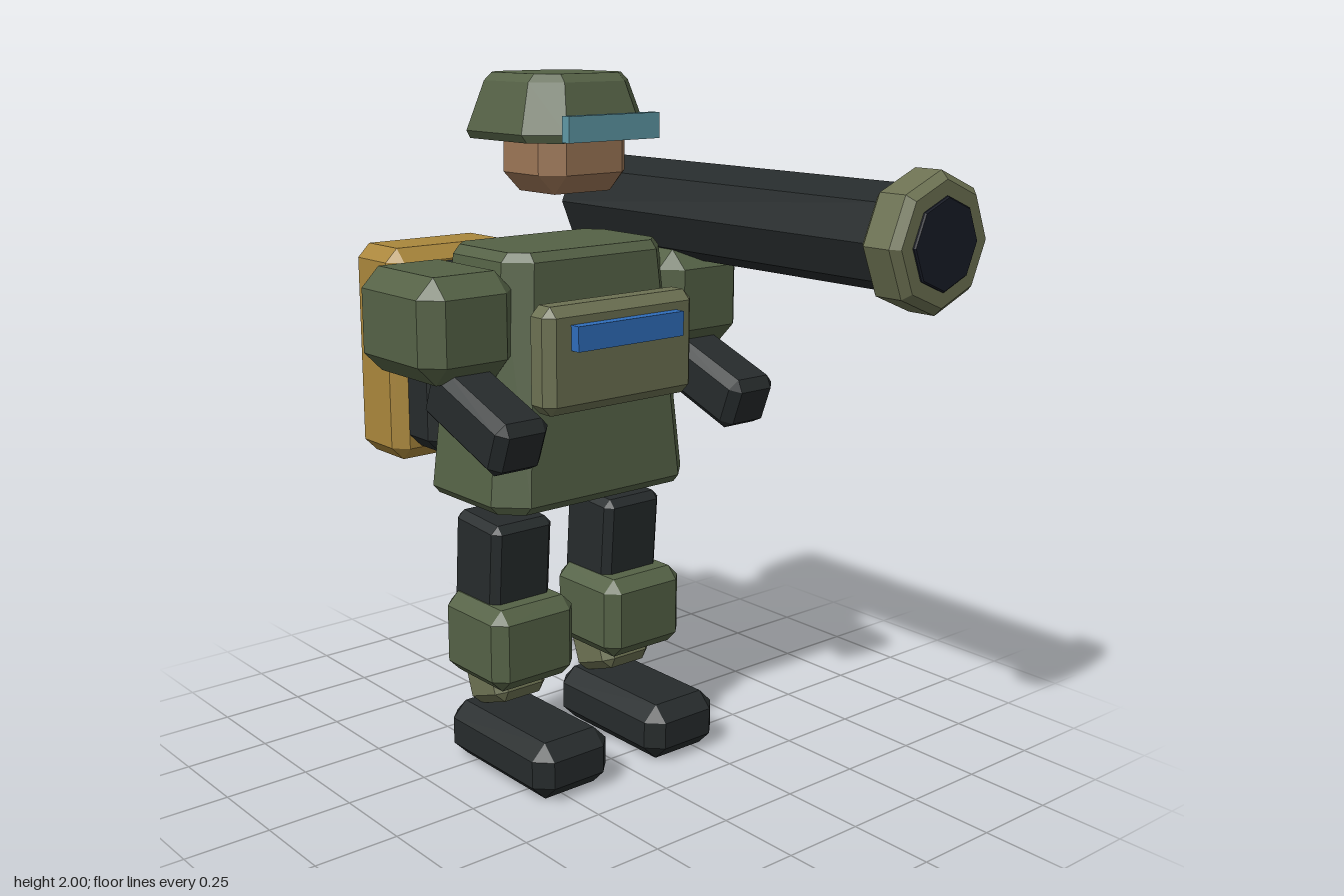
import * as THREE from 'three';
import { ConvexGeometry } from 'three/addons/geometries/ConvexGeometry.js';

const mat = (color) => new THREE.MeshStandardMaterial({ color, flatShading: true });
const GREEN = mat(0x556246), OLIVE = mat(0x6c7152), DARK = mat(0x262b2c), GOLD = mat(0xaa873c);
const SKIN = mat(0x9c7656), BLUE = mat(0x2f6dbb), GLASS = mat(0x5f99a6), BORE = mat(0x171b26);
const MID = -0.0125; // the body's own centre line

// Box with bevelled edges: edge = bevel of top and bottom, corner = bevel of upright edges, top = scale at the top
function bevelBox(w, h, d, edge, corner = edge, top = 1) {
  const points = [];
  for (const [y, inset] of [[-h / 2, edge], [-h / 2 + edge, 0], [h / 2 - edge, 0], [h / 2, edge]]) {
    const s = 1 + (top - 1) * (y / h + 0.5);
    const c = Math.max(corner - inset, 0);
    const x = w / 2 - inset, z = d / 2 - inset;
    for (const sx of [-1, 1]) for (const sz of [-1, 1]) {
      points.push(new THREE.Vector3(sx * (x - c) * s, y, sz * z * s));
      if (c > 0) points.push(new THREE.Vector3(sx * x * s, y, sz * (z - c) * s));
    }
  }
  return new ConvexGeometry(points);
}

// Closed eight-sided drum along z with bevelled rims
function drum(r, z0, z1, bevel) {
  const profile = [[0, z0], [r - bevel, z0], [r, z0 + bevel], [r, z1 - bevel], [r - bevel, z1], [0, z1]];
  return new THREE.LatheGeometry(profile.map((p) => new THREE.Vector2(...p)), 8).rotateX(Math.PI / 2);
}

export function createModel() {
  const model = new THREE.Group();
  const add = (name, geometry, material, x, y, z, tilt = 0, parent = model) => {
    const mesh = new THREE.Mesh(geometry, material);
    mesh.name = name;
    mesh.position.set(x, y, z);
    mesh.rotation.x = tilt;
    parent.add(mesh);
    return mesh;
  };

  // Head
  add('head', bevelBox(0.305, 0.27, 0.27, 0.055), SKIN, MID, 1.81, -0.19);
  add('helmet', bevelBox(0.45, 0.18, 0.445, 0.022, 0.09, 0.74), GREEN, MID - 0.002, 1.91, -0.222);
  add('visor', new THREE.BoxGeometry(0.315, 0.07, 0.03), GLASS, MID, 1.86, 0.018);

  // Torso
  add('torso', bevelBox(0.705, 0.72, 0.45, 0.025, 0.08, 0.79), GREEN, MID, 1.17, -0.225);
  add('chestPlate', bevelBox(0.53, 0.3, 0.105, 0.028), OLIVE, MID, 1.25, 0.0225);
  add('chestBar', new THREE.BoxGeometry(0.375, 0.07, 0.032), BLUE, MID, 1.315, 0.092);

  // Pack
  add('backpack', bevelBox(0.54, 0.555, 0.265, 0.04), DARK, -0.015, 1.1625, -0.6025);
  add('supplyBox', bevelBox(0.45, 0.645, 0.235, 0.04), GOLD, -0.1, 1.1625, -0.7275);

  // Arms and legs, mirrored about the body's centre line
  for (const side of [-1, 1]) {
    const limb = new THREE.Group();
    limb.name = side > 0 ? 'leftLimbs' : 'rightLimbs';
    model.add(limb);
    const x = (offset) => MID + side * offset;
    add('shoulder', bevelBox(0.305, 0.29, 0.38, 0.055), GREEN, x(0.416), 1.345, -0.225, 0, limb);
    add('forearm', bevelBox(0.17, 0.16, 0.36, 0.028), DARK, x(0.411), 1.115, -0.01, 0.355, limb);
    add('thigh', bevelBox(0.21, 0.34, 0.21, 0.022), DARK, x(0.205), 0.59, -0.233, 0.07, limb);
    add('kneeGuard', bevelBox(0.29, 0.245, 0.29, 0.037), GREEN, x(0.206), 0.3975, -0.2, 0, limb);
    add('shin', bevelBox(0.18, 0.23, 0.18, 0.028), OLIVE, x(0.201), 0.295, -0.25, -0.35, limb);
    add('boot', bevelBox(0.265, 0.17, 0.48, 0.045), DARK, x(0.2065), 0.085, -0.115, 0, limb);
  }

  // Shoulder launcher
  const launcher = new THREE.Group();
  launcher.name = 'launcher';
  launcher.position.set(0.395, 1.595, 0);
  model.add(launcher);
  add('launcherTube', drum(0.143, -0.56, 0.73, 0.015), DARK, 0, 0, 0, 0, launcher);
  add('muzzleRing', drum(0.185, 0.71, 0.838, 0.022), OLIVE, 0, 0, 0, 0, launcher);
  add('muzzleBore', drum(0.122, 0.75, 0.846, 0.004), BORE, 0, 0, 0, 0, launcher);

  return model;
}
